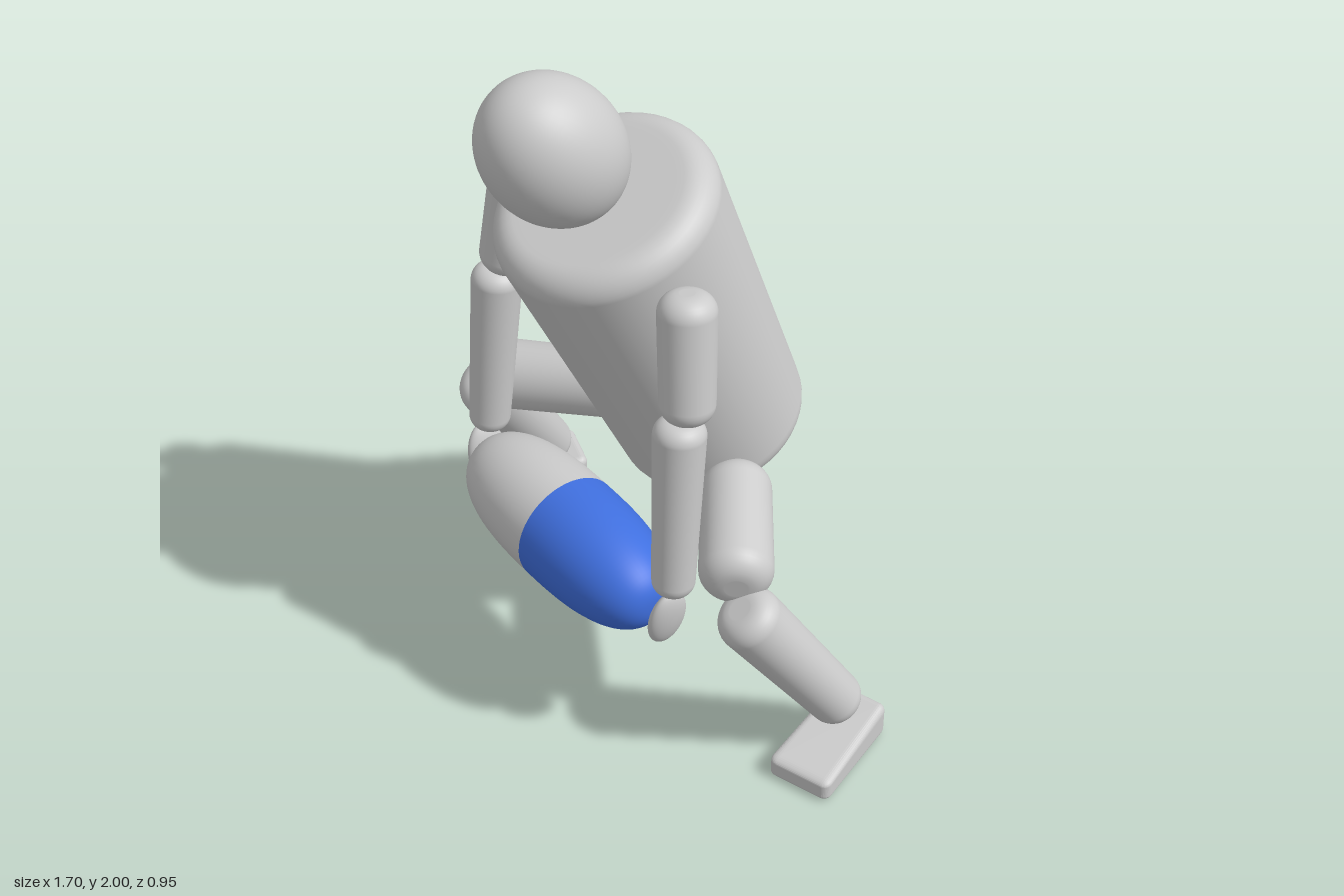
import * as THREE from 'three';
import { RoundedBoxGeometry } from 'three/addons/geometries/RoundedBoxGeometry.js';

const UP = new THREE.Vector3(0, 1, 0);
const CENTRE = 0.043; // the body sits slightly off the middle of the feet

export function createModel() {
  const figure = new THREE.Group();
  figure.name = 'squattingFigure';
  const grey = new THREE.MeshStandardMaterial({ color: 0xcccccc });
  const blue = new THREE.MeshStandardMaterial({ color: 0x4070e0 });

  const add = (name, geometry, material = grey) => {
    const mesh = new THREE.Mesh(geometry, material);
    mesh.name = name;
    figure.add(mesh);
    return mesh;
  };

  // Tapered cylinder with rounded rims from point a to point b
  const limb = (name, a, b, ra, rb, round) => {
    const start = new THREE.Vector3(...a);
    const dir = new THREE.Vector3(...b).sub(start);
    const length = dir.length();
    const profile = [new THREE.Vector2(0, 0), new THREE.Vector2((ra - round) * 0.9, 0)];
    const steps = 8;
    for (let i = 0; i <= steps; i++) {
      const t = (i / steps) * Math.PI / 2;
      profile.push(new THREE.Vector2(ra - round + round * Math.sin(t), round - round * Math.cos(t)));
    }
    for (let i = 0; i <= steps; i++) {
      const t = (i / steps) * Math.PI / 2;
      profile.push(new THREE.Vector2(rb - round + round * Math.cos(t), length - round + round * Math.sin(t)));
    }
    profile.push(new THREE.Vector2((rb - round) * 0.9, length), new THREE.Vector2(0, length));
    const mesh = add(name, new THREE.LatheGeometry(profile, 48));
    mesh.position.copy(start);
    mesh.quaternion.setFromUnitVectors(UP, dir.normalize());
    return mesh;
  };

  const ellipsoid = (name, position, radii) => {
    const mesh = add(name, new THREE.SphereGeometry(1, 48, 32));
    mesh.position.set(...position);
    mesh.scale.set(...radii);
    return mesh;
  };

  // Head and torso lean forward
  ellipsoid('head', [CENTRE, 1.782, 0.272], [0.174, 0.234, 0.183]).rotation.x = 0.635;
  limb('torso', [CENTRE, 0.674, -0.26], [CENTRE, 1.6, 0.138], 0.262, 0.303, 0.075);

  // Foot: wedge, wide and low at the toe, narrow and high at the heel
  const footGeometry = () => {
    const length = 0.325, height = 0.11;
    const geometry = new RoundedBoxGeometry(0.19, height, length, 4, 0.024);
    const p = geometry.attributes.position;
    for (let i = 0; i < p.count; i++) {
      const t = p.getZ(i) / length + 0.5; // 0 at the heel, 1 at the toe
      p.setX(i, p.getX(i) * (0.87 + 0.13 * t));
      p.setY(i, (p.getY(i) + height / 2) * (1 - 0.42 * t));
    }
    geometry.computeVertexNormals();
    return geometry;
  };

  for (const s of [-1, 1]) {
    const side = s > 0 ? 'left' : 'right';
    const x = (d) => CENTRE + s * d;

    // Arms hang down to the ends of the held object
    limb(side + 'UpperArm', [x(0.407), 1.14, 0.158], [x(0.36), 1.5, 0.128], 0.073, 0.077, 0.055);
    limb(side + 'Forearm', [x(0.426), 0.605, 0.212], [x(0.406), 1.155, 0.18], 0.058, 0.07, 0.045);
    ellipsoid(side + 'Hand', [x(0.422), 0.525, 0.228], [0.027, 0.094, 0.058]).rotation.z = -s * 0.17;

    // Wide bent legs
    const knee = s > 0 ? 0.58 : 0.555;
    const hip = s > 0 ? 0.27 : 0.19;
    limb(side + 'Thigh', [s * hip, 0.7, -0.15], [s * knee, 0.632, 0.09], 0.096, 0.1, 0.065);
    limb(side + 'Shin', [s * 0.69, 0.122, -0.21], [s * (knee + 0.028), 0.588, 0.1], 0.076, 0.09, 0.055);

    const foot = add(side + 'Foot', footGeometry());
    foot.position.set(s * 0.717, 0, -0.142);
    foot.rotation.y = s * 0.32;
  }

  // Held long ball: two halves of a blunt oval, one of them coloured
  const half = () => {
    const profile = [];
    const steps = 24, power = 2 / 2.6;
    for (let i = 0; i <= steps; i++) {
      const t = (i / steps) * Math.PI / 2;
      const r = i === steps ? 0 : 0.16 * Math.cos(t) ** power;
      profile.push(new THREE.Vector2(r, 0.392 * Math.sin(t) ** power));
    }
    return new THREE.LatheGeometry(profile, 48);
  };
  for (const s of [-1, 1]) {
    const mesh = add(s > 0 ? 'ballLeftHalf' : 'ballRightHalf', half(), s > 0 ? blue : grey);
    mesh.position.set(0.046, 0.547, 0.25);
    mesh.rotation.z = -s * Math.PI / 2;
  }

  return figure;
}
